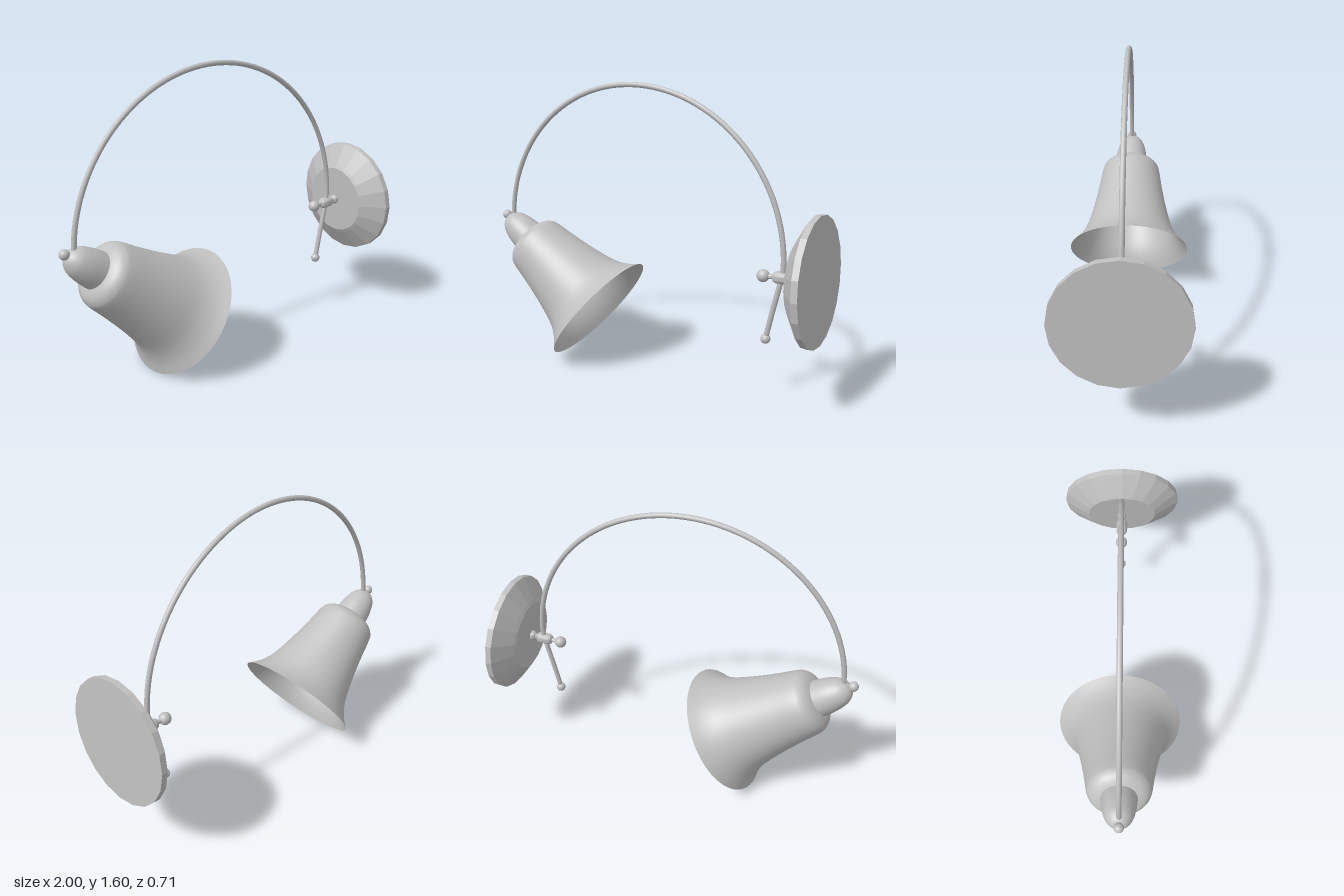
import * as THREE from 'three';
import { toCreasedNormals } from 'three/addons/utils/BufferGeometryUtils.js';

const metal = new THREE.MeshStandardMaterial({ color: 0xc0c0c0, side: THREE.DoubleSide });
metal.name = 'grey metal';

const points = (list) => list.map(([r, h]) => new THREE.Vector2(r, h));

function add(parent, name, geometry, x = 0, y = 0) {
  const mesh = new THREE.Mesh(geometry, metal);
  mesh.name = name;
  mesh.position.set(x, y, 0);
  parent.add(mesh);
  return mesh;
}

// Smooth turned profile, listed from bottom to top as [radius, height]
function smoothLathe(list, steps) {
  const pts = new THREE.SplineCurve(points(list)).getPoints(steps);
  pts.forEach((p) => { p.x = Math.max(p.x, 0); });
  return new THREE.LatheGeometry(pts, 48);
}

const ball = (r) => new THREE.SphereGeometry(r, 20, 14);

export function createModel() {
  const model = new THREE.Group();
  model.name = 'wallLamp';

  // Bell shade and socket, tilted around the rim centre
  const head = new THREE.Group();
  head.name = 'lampHead';
  head.position.set(-0.313, 0.297, 0);
  head.rotation.z = 0.947;
  model.add(head);
  add(head, 'shade', smoothLathe([
    [0.354, 0], [0.302, 0.06], [0.26, 0.143], [0.222, 0.292], [0.196, 0.43],
    [0.179, 0.54], [0.166, 0.575], [0.14, 0.6], [0.1, 0.615], [0.06, 0.617],
  ], 40));
  add(head, 'socket', smoothLathe([
    [0.1, 0.605], [0.098, 0.63], [0.09, 0.69], [0.072, 0.75], [0.045, 0.785], [0.02, 0.798], [0, 0.8],
  ], 24));
  add(model, 'socketKnob', ball(0.027), -0.973, 0.775);

  // Curved arm: a large arc running into a straight tail
  const path = [];
  for (let i = 0; i <= 24; i++) {
    const a = Math.PI * (0.985 - 0.985 * i / 24);
    path.push(new THREE.Vector3(-0.067 + 0.857 * Math.cos(a), 0.735 + 0.857 * Math.sin(a), 0));
  }
  path.push(new THREE.Vector3(0.777, 0.65, 0), new THREE.Vector3(0.745, 0.5, 0), new THREE.Vector3(0.713, 0.34, 0));
  add(model, 'arm', new THREE.TubeGeometry(new THREE.CatmullRomCurve3(path), 80, 0.014, 10));
  add(model, 'armEndKnob', ball(0.026), 0.713, 0.34);

  // Wall mount, its axis pointing from the wall towards the arm
  const mount = new THREE.Group();
  mount.name = 'wallMount';
  mount.position.set(0.982, 0.695, 0);
  mount.rotation.z = Math.PI / 2 + 0.056;
  model.add(mount);
  const plate = new THREE.LatheGeometry(points([
    [0, 0], [0.332, 0], [0.332, 0.033], [0.268, 0.073], [0.215, 0.106], [0.197, 0.116], [0, 0.116],
  ]), 20).toNonIndexed();
  plate.computeVertexNormals();
  add(mount, 'wallPlate', plate);

  // Clamp: bead, neck, sleeve gripping the arm, and stem
  const clamp = new THREE.LatheGeometry(points([
    [0.025, 0.11], [0.027, 0.125], [0.022, 0.137], [0.015, 0.143], [0.015, 0.155],
    [0.024, 0.158], [0.031, 0.167], [0.031, 0.225], [0.024, 0.24], [0.012, 0.246], [0.012, 0.29],
  ]), 20);
  add(mount, 'clamp', toCreasedNormals(clamp, 0.7));
  add(mount, 'clampKnob', ball(0.033), 0, 0.297);

  return model;
}
